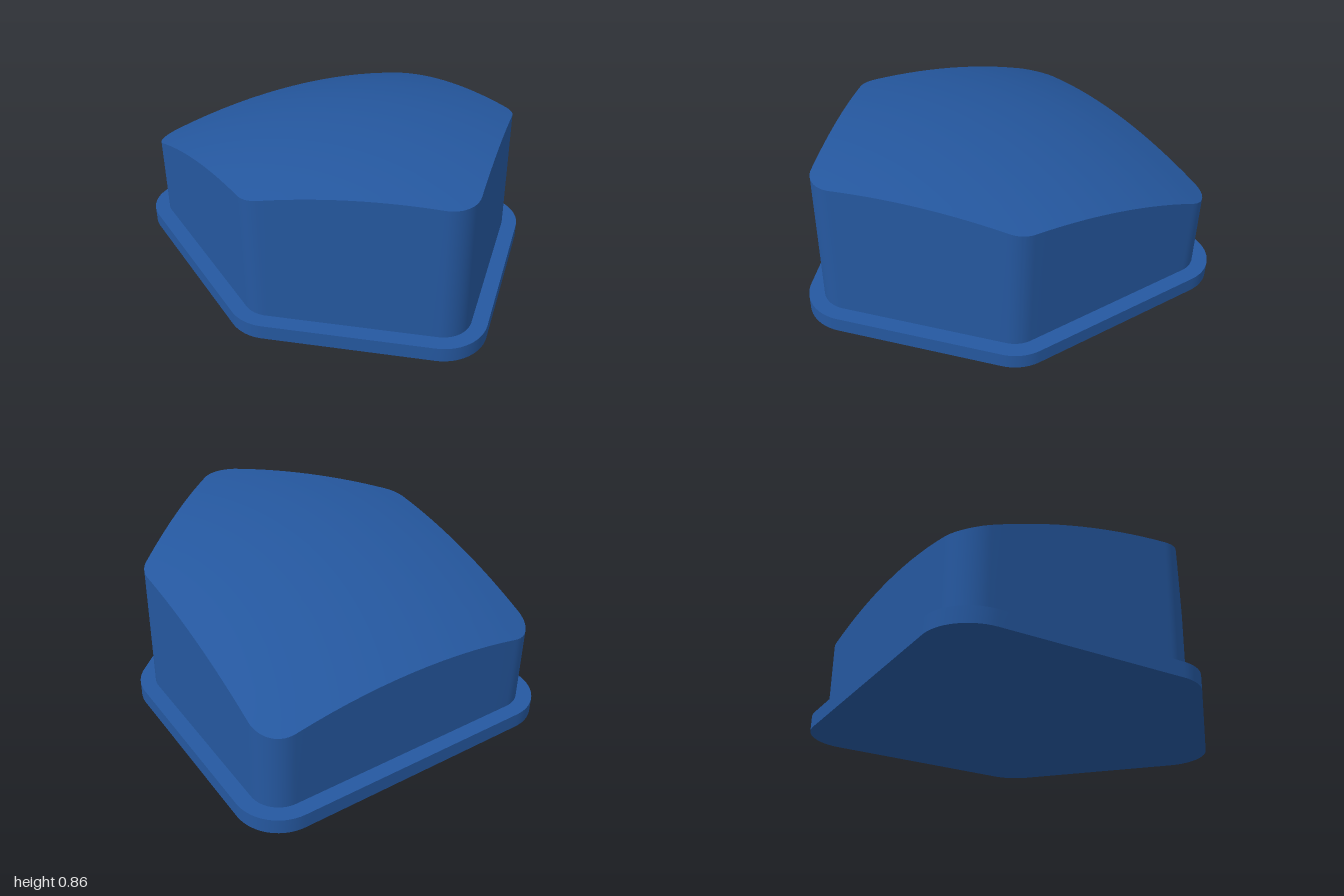
import * as THREE from 'three';
import { toCreasedNormals } from 'three/addons/utils/BufferGeometryUtils.js';

const PI = Math.PI;
const SLANT = Math.atan2(0.572, 0.638); // facing angle of the two slanted front walls

// Rounded pentagon: corner centres [x, z] with the facing angles each corner sweeps
const CORNERS = [
  [0, 0.77, -SLANT, SLANT],
  [0.638, 0.198, SLANT, PI / 2],
  [0.638, -0.77, PI / 2, PI],
  [-0.638, -0.77, PI, 1.5 * PI],
  [-0.638, 0.198, 1.5 * PI, 2 * PI - SLANT],
];

function outline(radius, arcSteps = 14, edgeSteps = 14) {
  const at = ([cx, cz], a) => new THREE.Vector2(cx + radius * Math.sin(a), cz + radius * Math.cos(a));
  const points = [];
  CORNERS.forEach((corner, k) => {
    const [, , from, to] = corner;
    for (let i = 0; i <= arcSteps; i++) points.push(at(corner, from + (to - from) * i / arcSteps));
    const next = CORNERS[(k + 1) % CORNERS.length];
    const start = at(corner, to), end = at(next, next[2]);
    for (let i = 1; i < edgeSteps; i++) points.push(start.clone().lerp(end, i / edgeSteps));
  });
  return points;
}

// Skin a stack of rings; each ring is a scale of the outline and a height rule
function loft(points, rings) {
  const n = points.length, positions = [], index = [];
  for (const [scale, height] of rings) {
    for (const p of points) {
      const x = p.x * scale, z = p.y * scale;
      positions.push(x, height(x, z), z);
    }
  }
  for (let r = 0; r < rings.length - 1; r++) {
    for (let i = 0; i < n; i++) {
      const j = (i + 1) % n;
      const a = r * n + i, b = r * n + j, c = a + n, d = b + n;
      if (rings[r][0] > 0) index.push(a, b, d);
      if (rings[r + 1][0] > 0) index.push(a, d, c);
      else if (rings[r][0] > 0) continue;
    }
  }
  const geometry = new THREE.BufferGeometry();
  geometry.setAttribute('position', new THREE.Float32BufferAttribute(positions, 3));
  geometry.setIndex(index);
  return toCreasedNormals(geometry, 0.4);
}

export function createModel() {
  const model = new THREE.Group();
  model.name = 'domedPentagonCap';
  const blue = new THREE.MeshStandardMaterial({ color: 0x2558a0 });
  blue.name = 'blue';

  const level = y => () => y;
  // Spherical top, highest near the pointed front and falling to the back
  const R = 3.35;
  const dome = (x, z) => 0.858 - R + Math.sqrt(R * R - x * x - (z - 0.45) ** 2);

  // Flat base flange
  const flange = new THREE.Mesh(loft(outline(0.23), [
    [0, level(0)], [1, level(0)], [1, level(0.08)], [0, level(0.08)],
  ]), blue);
  flange.name = 'baseFlange';

  // Upright walls closed by the domed top
  const rings = [[1, level(0.08)]];
  const steps = 14;
  for (let i = 0; i <= steps; i++) rings.push([1 - i / steps, dome]);
  const body = new THREE.Mesh(loft(outline(0.15), rings), blue);
  body.name = 'domedBody';

  model.add(flange, body);
  return model;
}
